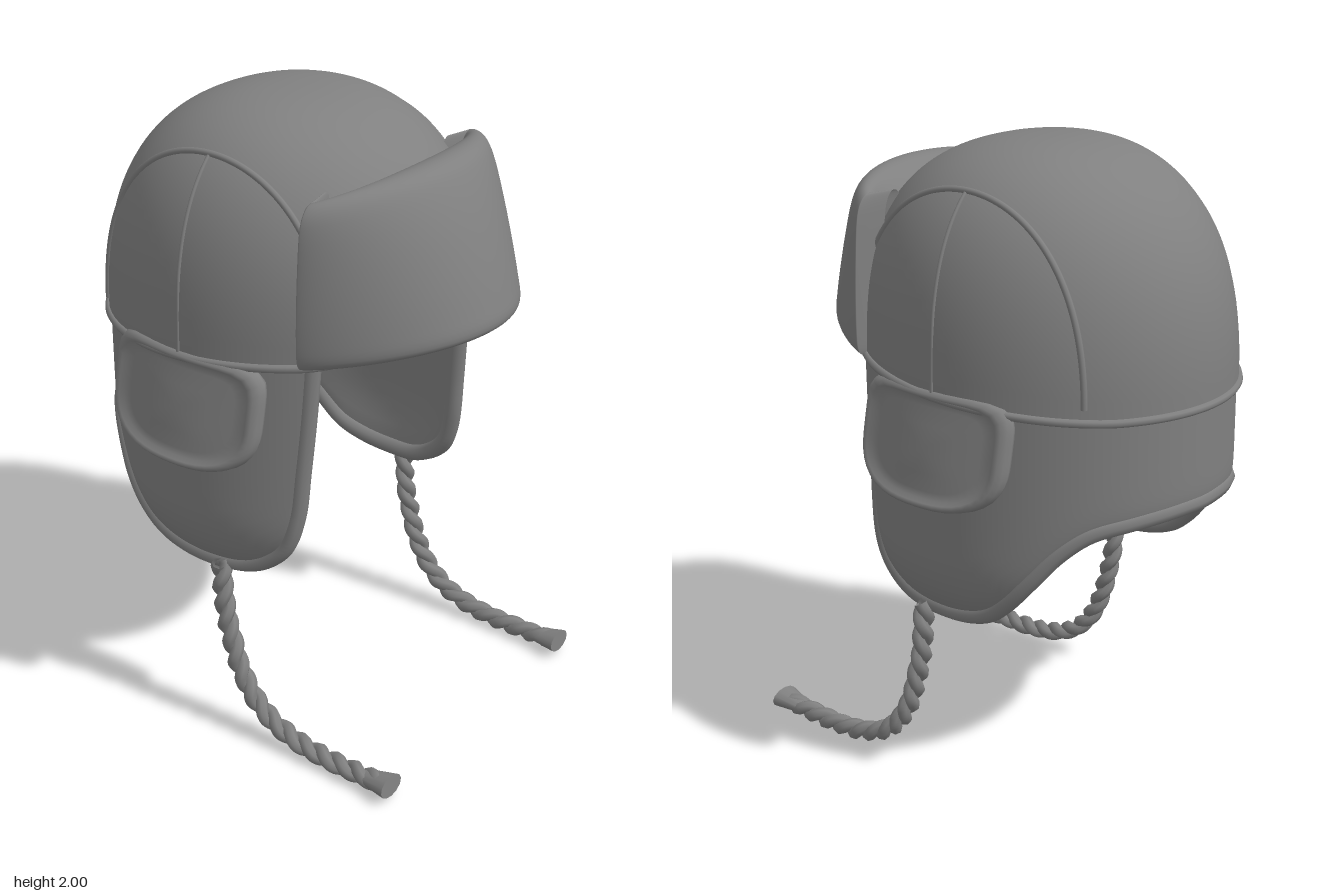
import * as THREE from 'three';
import { mergeVertices } from 'three/addons/utils/BufferGeometryUtils.js';

const RX = 0.545, RZ = 0.61, CZ = -0.08; // head ellipse
const V = (x, y, z) => new THREE.Vector3(x, y, z);

// Weld seams and smooth
function weld(g) {
  g.deleteAttribute('uv');
  g.deleteAttribute('normal');
  const m = mergeVertices(g, 1e-4);
  m.computeVertexNormals();
  return m;
}

// Surface sampled from f(u, v), u and v in 0..1
function grid(f, nu, nv) {
  const g = new THREE.PlaneGeometry(1, 1, nu, nv);
  const p = g.attributes.position;
  for (let i = 0; i < p.count; i++) {
    const q = f(p.getX(i) + 0.5, p.getY(i) + 0.5);
    p.setXYZ(i, q.x, q.y, q.z);
  }
  return weld(g);
}

function tube(points, r, segs, closed = false, sides = 8) {
  return new THREE.TubeGeometry(new THREE.CatmullRomCurve3(points, closed), segs, r, sides, closed);
}

const sample = (n, f) => Array.from({ length: n + 1 }, (_, i) => f(i / n));

// Crown: hem height, roundness by angle, and points on its surface
const hemY = z => (z > 0.31 ? 1.332 + 0.2 * (z - 0.31) : Math.max(1.27, 1.31 + 0.07 * z));
const roundness = a => 2.3 + 0.4 * Math.sin(a) ** 2;
function crownPoint(a, rho) {
  const n = roundness(a);
  const h = Math.pow(Math.max(0, 1 - Math.pow(rho, n)), 1 / n);
  const base = hemY(CZ + RZ * Math.cos(a));
  return V(RX * rho * Math.sin(a), base + (2 - base) * h, CZ + RZ * rho * Math.cos(a));
}
function crownAt(x, z) {
  const ex = x / RX, ez = (z - CZ) / RZ;
  return crownPoint(Math.atan2(ex, ez), Math.min(1, Math.hypot(ex, ez)));
}

// Neck and ear flap wall: point at angle a, height y, offset from its mid-surface
function wallPoint(a, y, off) {
  const tuck = 0.06 * (Math.max(0, 0.8 - y) / 0.23) ** 2;
  return V((RX - 0.03 - tuck + off) * Math.sin(a), y, CZ + (RZ - 0.03 + off) * Math.cos(a));
}

// Lower edge of the wall as (z, y), front to back
const EDGE = [[0.3, 1.34], [0.29, 1.15], [0.275, 0.95], [0.262, 0.8], [0.235, 0.7], [0.18, 0.635], [0.1, 0.59],
  [0, 0.575], [-0.13, 0.58], [-0.23, 0.61], [-0.3, 0.665], [-0.37, 0.745], [-0.44, 0.835],
  [-0.51, 0.9], [-0.59, 0.93], [-0.65, 0.945], [-0.66, 0.945]];

export function createModel() {
  const model = new THREE.Group();
  const cloth = new THREE.MeshStandardMaterial({ color: 0x808080, side: THREE.DoubleSide });
  cloth.name = 'grey cloth';
  const add = (parent, name, geometry) => {
    const m = new THREE.Mesh(geometry, cloth);
    m.name = name;
    parent.add(m);
    return m;
  };

  // Crown and its hem
  add(model, 'crown', grid((u, v) => {
    const a = u * Math.PI * 2, n = roundness(a);
    return crownPoint(a, Math.pow(Math.max(0, Math.cos(v * Math.PI / 2)), 2 / n));
  }, 72, 32));
  add(model, 'crownHem', tube(sample(71, t => crownPoint(t * 71 / 72 * Math.PI * 2, 1)), 0.013, 144, true));

  // Front brim: rows of [centre height, depth, half width, side drop]
  const rows = [[1.365, 0.19, 0.41, 0.03], [1.4, 0.36, 0.445, 0.065], [1.425, 0.385, 0.46, 0.07],
    [1.5, 0.368, 0.465, 0.07], [1.7, 0.295, 0.458, 0.05], [1.82, 0.235, 0.445, 0.045],
    [1.865, 0.2, 0.425, 0.05], [1.88, 0.16, 0.4, 0.05], [1.87, 0.11, 0.37, 0.05], [1.8, 0.02, 0.33, 0.05]];
  const size = new THREE.CatmullRomCurve3(rows.map(r => V(r[0], r[1], r[2])));
  const drop = new THREE.CatmullRomCurve3(rows.map((r, i) => V(r[3], i, 0)));
  add(model, 'frontBrim', grid((u, v) => {
    const q = size.getPoint(v), d = drop.getPoint(v).x;
    const s = (u * 2 - 1) * 1.08;
    const c = Math.pow(Math.max(0, Math.cos(Math.min(1, Math.abs(s)) * Math.PI / 2)), 1.5);
    const over = Math.max(0, Math.abs(s) - 1) / 0.08; // ends tuck in towards the crown
    const x = q.z * Math.sin(Math.max(-1, Math.min(1, s)) * Math.PI / 2) * (1 - 0.22 * over);
    return V(x, q.x - d * (1 - c), 0.3 + q.y * c - 0.02 * over);
  }, 54, 40));

  // Wall: one sheet round the back, with both ear flaps
  const half = EDGE.map(([z, y]) => V(Math.acos((z - CZ) / (RZ - 0.03)), y, 0));
  half[half.length - 1].x = Math.PI;
  const mirrored = half.slice(0, -1).reverse().map(p => V(2 * Math.PI - p.x, p.y, 0));
  const edge = new THREE.CatmullRomCurve3([...half, ...mirrored]);
  add(model, 'neckAndEarFlaps', grid((u, v) => {
    const e = edge.getPoint(u);
    const w = v * 2 - 1, side = w < 0 ? -1 : 1, t = 1 - Math.abs(w); // t = 1 at lower edge
    const top = hemY(CZ + RZ * Math.cos(e.x)) + 0.02;
    const off = side * 0.024 * Math.sqrt(Math.max(0, 1 - t ** 12));
    return wallPoint(e.x, top + (e.y - top) * t, off);
  }, 160, 32));
  add(model, 'wallEdging', tube(sample(120, t => {
    const e = edge.getPoint(t);
    return wallPoint(e.x, e.y + 0.018, 0);
  }), 0.03, 240));

  // Paired parts, built on the left and mirrored
  const path = new THREE.CatmullRomCurve3([[0.6, 0.02], [0.45, 0.03], [0.3, 0.065], [0.19, 0.11], [0.1, 0.19],
    [0.05, 0.31], [0.037, 0.45], [0.04, 0.57], [0.045, 0.66]].map(([y, z]) => V(0.49, y, z)));
  for (const side of [1, -1]) {
    const g = new THREE.Group();
    g.name = side > 0 ? 'leftSide' : 'rightSide';
    g.scale.x = side;
    model.add(g);

    // Crown panel seams
    add(g, 'panelSeam', tube(sample(40, t =>
      crownAt(0.38, CZ + 0.437 * Math.cos(0.4 + t * (Math.PI - 0.4)))), 0.01, 80));
    add(g, 'sideSeam', tube(sample(16, t => crownAt(0.38 + t * 0.165, CZ)), 0.006, 32));

    // Turned-out ear pad with a rolled rim
    const profile = [[0, -0.022], [0.8, -0.022], [0.92, -0.026], [0.98, -0.016], [1, 0], [0.98, 0.018],
      [0.93, 0.028], [0.87, 0.026], [0.82, 0.014], [0.7, 0.012], [0.4, 0.016], [0, 0.018]];
    const pad = new THREE.LatheGeometry(profile.map(p => new THREE.Vector2(...p)), 48);
    const p = pad.attributes.position;
    for (let i = 0; i < p.count; i++) {
      const r = Math.hypot(p.getX(i), p.getZ(i)), a = Math.atan2(p.getX(i), p.getZ(i));
      const e = Math.sin(a) < 0 ? 2.8 : 6;
      const k = r / Math.pow(Math.abs(Math.cos(a)) ** e + Math.abs(Math.sin(a)) ** e, 1 / e);
      const dz = k * Math.cos(a), y = 1.15 + k * Math.sin(a) * 0.175;
      p.setXYZ(i, 0.532 + (1.3 - y) * 0.2 - 0.045 * dz * dz + p.getY(i), y, -0.07 + 0.285 * dz);
    }
    add(g, 'earPad', weld(pad));

    // Twisted cord with a flared end
    for (const phase of [0, Math.PI]) {
      add(g, 'cordStrand', tube(sample(110, t => {
        const c = path.getPointAt(t), d = path.getTangentAt(t), w = t * 15 * Math.PI + phase;
        const n = V(0, -d.z, d.y).multiplyScalar(0.013 * Math.sin(w));
        return c.add(n).add(V(0.015 * Math.cos(w), 0, 0));
      }), 0.021, 150, false, 7));
    }
    const end = add(g, 'cordEnd', new THREE.CylinderGeometry(0.052, 0.03, 0.1, 12));
    end.geometry.rotateX(Math.PI / 2).scale(1, 0.66, 1).rotateX(-0.1);
    end.position.set(0.49, 0.046, 0.635);
  }
  return model;
}
